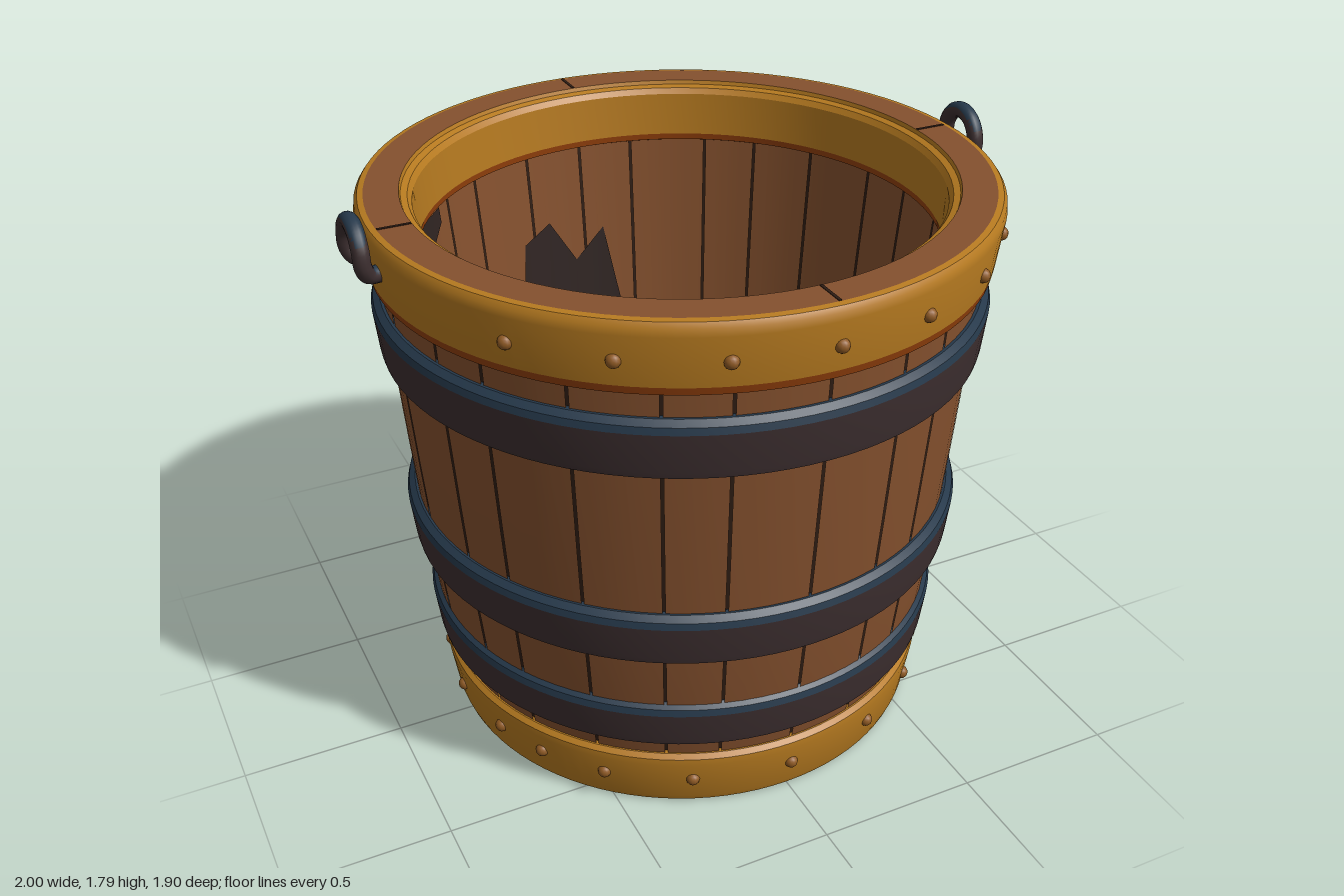
import * as THREE from 'three';
import { mergeGeometries, toCreasedNormals } from 'three/addons/utils/BufferGeometryUtils.js';

const mat = (name, color, side = THREE.FrontSide) => {
  const m = new THREE.MeshStandardMaterial({ color, side });
  m.name = name;
  return m;
};
const deg = Math.PI / 180;

// Turned part from [radius, y] points, listed upward on the outside
function turned(points, segments = 96, start = 0, length = Math.PI * 2) {
  const pts = points.map(([r, y]) => new THREE.Vector2(r, y));
  return toCreasedNormals(new THREE.LatheGeometry(pts, segments, start, length), 0.5);
}

export function createModel() {
  const model = new THREE.Group();
  const wood = mat('wood', 0x85512e);
  const gap = mat('dark gap', 0x2e1d14, THREE.DoubleSide);
  const gold = mat('gold', 0xb67a20);
  const rust = mat('rust edge', 0x93400c);
  const iron = mat('dark iron', 0x3d2f30);
  const blue = mat('blue iron', 0x25384a);
  const copper = mat('copper rivet', 0x8f5a24);
  const stain = mat('dark stain', 0x2f2422, THREE.DoubleSide);

  const add = (name, geometry, material, parent = model) => {
    const mesh = new THREE.Mesh(geometry, material);
    mesh.name = name;
    parent.add(mesh);
    return mesh;
  };
  const group = (name) => {
    const g = new THREE.Group();
    g.name = name;
    model.add(g);
    return g;
  };

  // Wall: separate staves around a dark core that shows in the joints
  const floorY = 0.12;
  const inner = (y) => 0.645 + 0.095 * (y - floorY);
  const outside = [[0.745, 0.1], [0.765, 0.2], [0.8, 0.42], [0.822, 0.62], [0.85, 0.95], [0.873, 1.25], [0.89, 1.54]];
  const wall = (inset) => [
    ...outside.map(([r, y]) => [r - inset, y]),
    [inner(1.54) + inset, 1.54],
    [inner(0.1) + inset, 0.1],
  ];
  const count = 24, step = Math.PI * 2 / count;
  const joint = (i) => (i % 6 === 0 ? i : i + 0.13 * Math.sin(i * 2.4)) * step;
  const staves = [];
  for (let i = 0; i < count; i++) {
    const a = joint(i) + 0.005, b = joint(i + 1) - 0.005;
    staves.push(turned(wall(0), 4, a, b - a));
  }
  add('staves', mergeGeometries(staves), wood);
  add('staveJoints', turned(wall(0.01)), gap);

  // Floor inside
  const floor = add('floor', new THREE.CircleGeometry(0.665, 96), wood);
  floor.rotation.x = -Math.PI / 2;
  floor.position.y = floorY;

  // Iron hoops with blue upper edges
  for (const [r, y0, y1] of [[0.917, 1.25, 1.435], [0.867, 0.6, 0.775], [0.818, 0.255, 0.42]]) {
    const hoop = group('hoop');
    add('hoopBand', turned([[r - 0.08, y0 + 0.005], [r - 0.035, y0], [r - 0.016, y0 + 0.012],
      [r - 0.012, y0 + 0.03], [r, y1 - 0.035]]), iron, hoop);
    add('hoopTopEdge', turned([[r, y1 - 0.035], [r - 0.006, y1 - 0.015], [r - 0.025, y1], [r - 0.08, y1]]), blue, hoop);
  }

  // Top rim: rust lower lip, gold outside, wooden top, gold lining
  const rim = group('topRim');
  add('rimLowerEdge', turned([[0.87, 1.52], [0.9, 1.51], [0.914, 1.517], [0.919, 1.54]]), rust, rim);
  add('rimOuter', turned([[0.919, 1.54], [0.938, 1.69], [0.935, 1.713], [0.925, 1.727], [0.908, 1.73]]), gold, rim);
  add('rimTop', turned([[0.908, 1.73], [0.808, 1.73]]), wood, rim);
  add('rimInner', turned([[0.808, 1.73], [0.804, 1.718], [0.785, 1.712], [0.773, 1.695], [0.764, 1.56]]), gold, rim);
  add('rimInnerLowerEdge', turned([[0.764, 1.56], [0.766, 1.54], [0.79, 1.53]]), rust, rim);
  for (let i = 0; i < 4; i++) {
    const a = i * Math.PI / 2;
    const line = add('rimJoint', new THREE.BoxGeometry(0.009, 0.004, 0.096), gap, rim);
    line.position.set(Math.sin(a) * 0.858, 1.73, Math.cos(a) * 0.858);
    line.rotation.y = a;
  }

  // Gold foot ring and underside
  add('footRing', turned([[0.66, 0.025], [0.665, 0], [0.742, 0], [0.757, 0.006], [0.764, 0.025],
    [0.786, 0.165], [0.784, 0.187], [0.77, 0.2], [0.73, 0.2]]), gold);
  const base = add('underside', new THREE.CircleGeometry(0.665, 96), gold);
  base.rotation.x = Math.PI / 2;
  base.position.y = 0.02;

  // Rivets
  const rivets = group('rivets');
  const rivetShape = new THREE.SphereGeometry(0.021, 12, 8);
  const rivet = (angle, r, y) => {
    add('rivet', rivetShape, copper, rivets).position.set(Math.sin(angle) * r, y, Math.cos(angle) * r);
  };
  for (let i = 0; i < 20; i++) {
    if (![4, 6, 14, 16].includes(i)) rivet(i * 18 * deg, 0.927, 1.615);
  }
  for (const a of [0, 23, 43, 59, 72, 90]) {
    for (const sx of a === 0 ? [1] : [1, -1]) {
      rivet(sx * a * deg, 0.774, 0.105);
      if (a !== 90) rivet(Math.PI + sx * a * deg, 0.774, 0.105);
    }
  }

  // Horseshoe lugs, blue where they face up
  const lugPath = [[0.925, 1.628, 0.055], [0.958, 1.636, 0.068], [0.973, 1.665, 0.078], [0.975, 1.71, 0.074], [0.975, 1.75, 0.046]];
  const path = new THREE.CatmullRomCurve3([
    ...lugPath.map(([x, y, z]) => new THREE.Vector3(x, y, z)),
    new THREE.Vector3(0.975, 1.766, 0),
    ...lugPath.slice().reverse().map(([x, y, z]) => new THREE.Vector3(x, y, -z)),
  ]);
  const tube = new THREE.TubeGeometry(path, 48, 0.025, 14).toNonIndexed();
  const n = tube.attributes.normal;
  for (let i = 0; i < n.count; i += 3) {
    const up = n.getY(i) + n.getY(i + 1) + n.getY(i + 2) > 1.2;
    tube.addGroup(i, 3, up ? 1 : 0);
  }
  // Sort the faces into one group for each colour
  const pick = (index) => {
    const g = new THREE.BufferGeometry();
    for (const key of ['position', 'normal']) {
      const src = tube.attributes[key].array, out = [];
      for (const f of tube.groups) {
        if (f.materialIndex === index) out.push(...src.slice(f.start * 3, f.start * 3 + 9));
      }
      g.setAttribute(key, new THREE.Float32BufferAttribute(out, 3));
    }
    return g;
  };
  const lugParts = [pick(0), pick(1)];
  const capShape = new THREE.SphereGeometry(0.025, 12, 8);
  for (const side of [1, -1]) {
    const lug = group(side > 0 ? 'leftLug' : 'rightLug');
    add('lugLower', lugParts[0], iron, lug);
    add('lugUpper', lugParts[1], blue, lug);
    for (const z of [0.055, -0.055]) add('lugEnd', capShape, iron, lug).position.set(0.925, 1.628, z);
    if (side < 0) lug.rotation.y = Math.PI;
  }

  // Dark stains on the inner wall, outlined by [angle, low, high]
  const stains = [
    [[4, 0.4, 0.62], [12, 0.25, 0.7], [20, 0.25, 0.85], [27, 0.3, 1.1], [31, 0.6, 1.15]],
    [[-73, 1.1, 1.3], [-66, 0.75, 1.3], [-58, 0.6, 0.95], [-50, 0.4, 0.85], [-42, 0.25, 0.6], [-36, 0.2, 0.3]],
    [[150, 0.12, 0.14], [160, 0.12, 0.3], [169, 0.12, 0.85], [175, 0.2, 1.25], [183, 0.25, 1.15],
      [190, 0.2, 1.3], [198, 0.15, 1.25], [205, 0.12, 0.7], [211, 0.12, 0.2]],
    [[228, 1.48, 1.53], [236, 1.42, 1.53], [246, 1.47, 1.53]],
  ];
  for (const outline of stains) {
    const pos = [], index = [];
    outline.forEach(([a, low, high], i) => {
      for (const y of [low, high]) {
        const r = inner(y) - 0.005;
        pos.push(Math.sin(a * deg) * r, y, Math.cos(a * deg) * r);
      }
      const k = i * 2;
      if (i > 0) index.push(k - 2, k - 1, k, k, k - 1, k + 1);
    });
    const g = new THREE.BufferGeometry();
    g.setAttribute('position', new THREE.Float32BufferAttribute(pos, 3));
    g.setIndex(index);
    g.computeVertexNormals();
    add('stain', g, stain);
  }

  return model;
}
